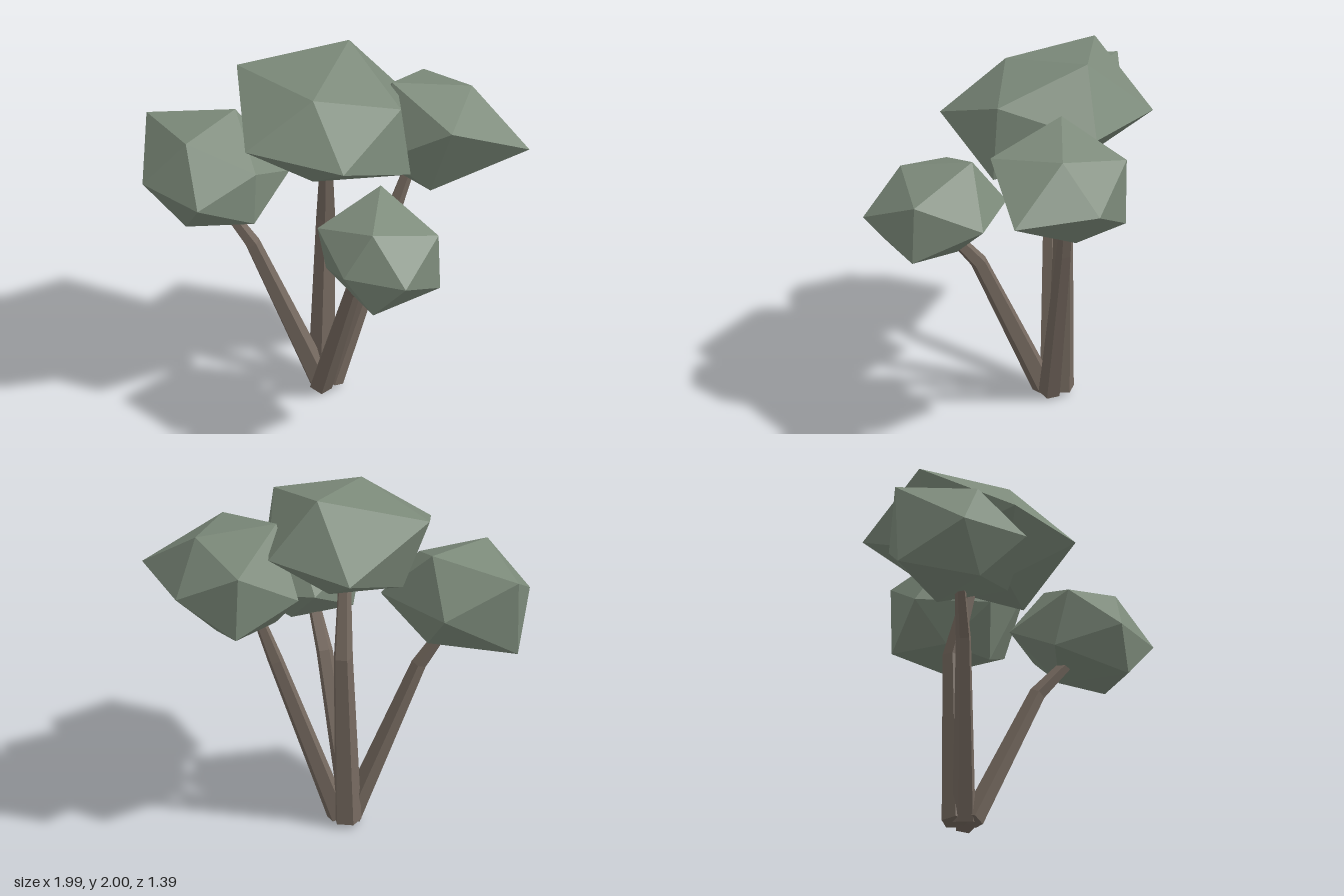
import * as THREE from 'three';
import { ConvexGeometry } from 'three/addons/geometries/ConvexGeometry.js';

const leaf = new THREE.MeshStandardMaterial({ color: 0x7d8b7b, flatShading: true });
leaf.name = 'sage leaves';
const bark = new THREE.MeshStandardMaterial({ color: 0x766a60, flatShading: true });
bark.name = 'brown bark';

// Faceted leaf clump: an irregular twenty-sided hull around twelve corners
function crown(name, corners) {
  const geo = new ConvexGeometry(corners.map((p) => new THREE.Vector3(...p)));
  const mesh = new THREE.Mesh(geo, leaf);
  mesh.name = name;
  return mesh;
}

// Bent, tapering five-sided trunk with closed ends; rings are [x, y, z, radius]
function trunk(name, rings, turn) {
  const sides = 5, pos = [], idx = [];
  const pts = rings.map((r) => new THREE.Vector3(r[0], r[1], r[2]));
  const last = pts.length - 1;
  pts.forEach((p, i) => {
    const dir = pts[Math.min(i + 1, last)].clone().sub(pts[Math.max(i - 1, 0)]).normalize();
    const q = new THREE.Quaternion().setFromUnitVectors(new THREE.Vector3(0, 1, 0), dir);
    for (let s = 0; s < sides; s++) {
      const a = turn + (s / sides) * Math.PI * 2;
      const v = new THREE.Vector3(Math.sin(a), 0, Math.cos(a)).multiplyScalar(rings[i][3]);
      v.applyQuaternion(q).add(p);
      pos.push(v.x, Math.max(v.y, 0), v.z);
    }
  });
  for (let i = 0; i < last; i++) {
    for (let s = 0; s < sides; s++) {
      const a = i * sides + s, b = i * sides + ((s + 1) % sides);
      idx.push(a, b, b + sides, a, b + sides, a + sides);
    }
  }
  const top = last * sides;
  for (let s = 1; s < sides - 1; s++) {
    idx.push(0, s + 1, s, top, top + s, top + s + 1);
  }
  const geo = new THREE.BufferGeometry();
  geo.setAttribute('position', new THREE.Float32BufferAttribute(pos, 3));
  geo.setIndex(idx);
  const flat = geo.toNonIndexed();
  flat.computeVertexNormals();
  const mesh = new THREE.Mesh(flat, bark);
  mesh.name = name;
  return mesh;
}

export function createModel() {
  const tree = new THREE.Group();
  tree.name = 'tree';

  // Leaf clumps
  tree.add(crown('topCrown', [
    [-0.53, 1.88, -0.10], [0.02, 2.0, -0.32], [0.405, 1.84, 0.02], [-0.03, 1.91, 0.18],
    [-0.345, 1.65, 0.37], [0.215, 1.65, 0.445], [0.457, 1.447, 0.02], [-0.035, 1.40, 0.16],
    [-0.39, 1.48, -0.13], [-0.265, 1.66, -0.565], [0.233, 1.68, -0.475], [-0.04, 1.45, -0.30],
  ]));
  tree.add(crown('backLeftCrown', [
    [0.995, 1.47, -0.36], [0.66, 1.68, -0.06], [0.647, 1.735, -0.475], [0.666, 1.468, -0.70],
    [0.52, 1.214, -0.49], [0.50, 1.225, -0.20], [0.265, 1.80, -0.285], [0.318, 1.653, -0.69],
    [0.33, 1.288, -0.69], [0.25, 1.24, -0.33], [0.29, 1.45, -0.09], [0.08, 1.45, -0.43],
  ]));
  tree.add(crown('rightCrown', [
    [-0.997, 1.56, -0.01], [-0.52, 1.644, -0.04], [-0.685, 1.612, 0.32], [-0.912, 1.345, 0.353],
    [-0.556, 1.345, 0.54], [-0.31, 1.47, 0.29], [-0.211, 1.345, 0.0], [-0.66, 1.36, -0.215],
    [-0.987, 1.136, 0.0], [-0.68, 1.11, 0.33], [-0.484, 1.11, -0.02], [-0.313, 1.18, 0.31],
  ]));
  tree.add(crown('frontLeftCrown', [
    [0.345, 1.465, 0.195], [0.414, 1.394, 0.58], [0.08, 1.318, 0.47], [0.71, 1.317, 0.36],
    [0.286, 1.163, 0.68], [0.63, 1.163, 0.695], [0.72, 1.0, 0.365], [0.436, 0.946, 0.645],
    [0.40, 0.952, 0.257], [0.10, 1.024, 0.38], [0.537, 1.167, 0.04], [0.19, 1.20, 0.07],
  ]));

  // Trunks, splaying from one root
  tree.add(trunk('topTrunk', [
    [-0.07, 0.03, -0.12, 0.075], [-0.055, 1.0, -0.145, 0.053], [-0.015, 1.52, -0.02, 0.03],
  ], 0.2));
  tree.add(trunk('backLeftTrunk', [
    [-0.005, 0.03, -0.09, 0.06], [0.265, 1.0, -0.30, 0.042], [0.36, 1.32, -0.36, 0.028],
  ], 0.5));
  tree.add(trunk('rightTrunk', [
    [-0.06, 0.025, -0.07, 0.065], [-0.39, 0.92, 0.09, 0.042], [-0.56, 1.2, 0.15, 0.028],
  ], 0.9));
  tree.add(trunk('frontLeftTrunk', [
    [-0.05, 0.03, -0.03, 0.062], [0.20, 0.81, 0.225, 0.045], [0.34, 1.06, 0.38, 0.03],
  ], 0.4));

  return tree;
}
